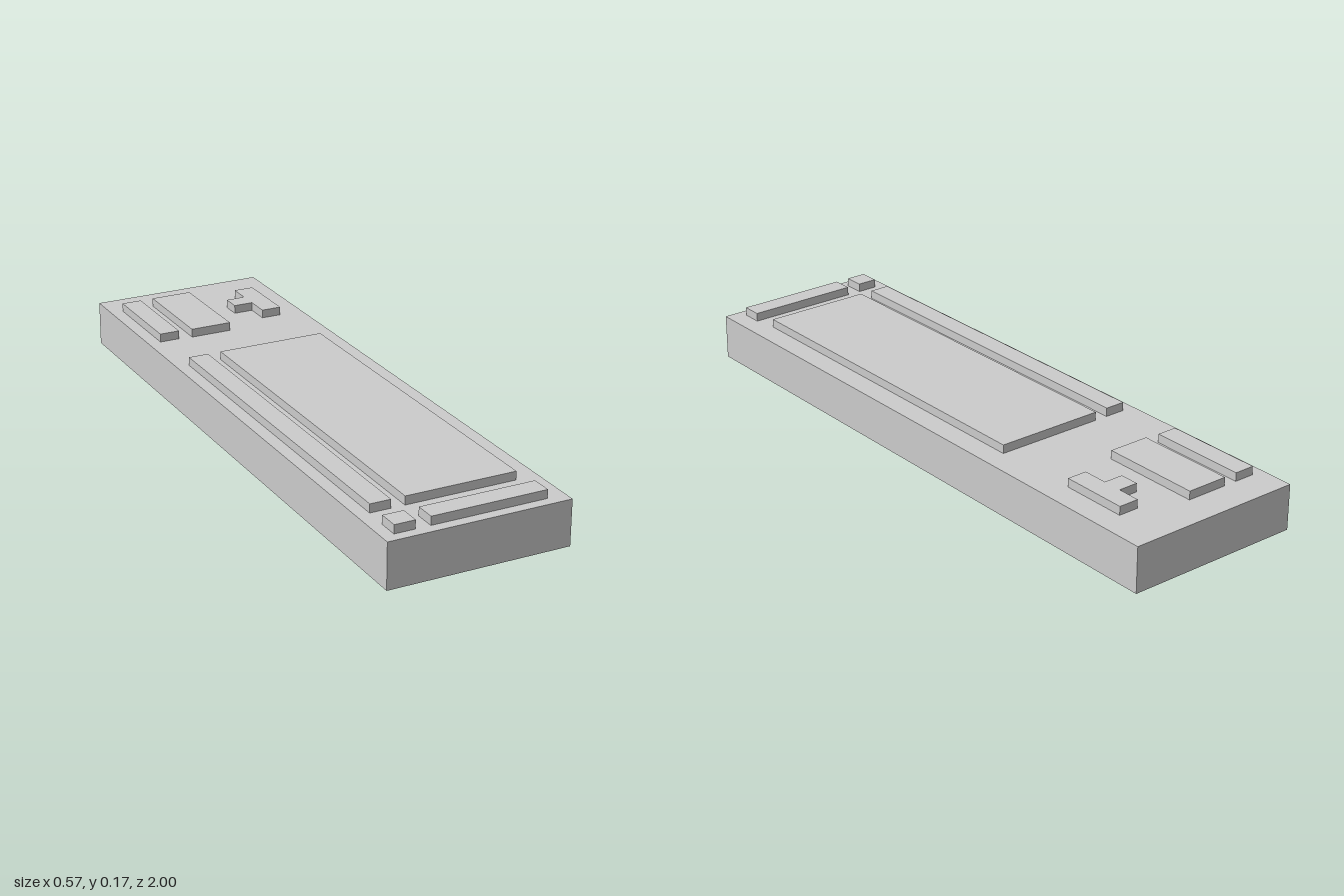
import * as THREE from 'three';

const BASE_TOP = 0.143;
const TOP = 0.17;

export function createModel() {
  const group = new THREE.Group();
  const material = new THREE.MeshStandardMaterial({ color: 0xcccccc, flatShading: true });

  // Box given by its extents along each axis
  function addBlock(name, x0, x1, z0, z1, y0 = BASE_TOP, y1 = TOP) {
    const mesh = new THREE.Mesh(new THREE.BoxGeometry(x1 - x0, y1 - y0, z1 - z0), material);
    mesh.position.set((x0 + x1) / 2, (y0 + y1) / 2, (z0 + z1) / 2);
    mesh.name = name;
    group.add(mesh);
  }

  // Main slab
  addBlock('base', -0.286, 0.286, -1, 1, 0, BASE_TOP);

  // Raised plates: name, x range, z range
  [
    ['frontSquare', -0.248, -0.183, 0.902, 0.967],
    ['frontBar', -0.137, 0.227, 0.902, 0.967],
    ['longStrip', -0.245, -0.18, -0.353, 0.828],
    ['mainPanel', -0.137, 0.214, -0.353, 0.828],
    ['rearStrip', -0.245, -0.18, -0.893, -0.577],
    ['rearPanel', -0.137, -0.003, -0.893, -0.571],
  ].forEach((plate) => addBlock(...plate));

  // T-shaped plate, outlined in (x, -z) and extruded upwards
  const outline = [
    [0.141, 0.626], [0.206, 0.626], [0.206, 0.84], [0.141, 0.84],
    [0.141, 0.767], [0.078, 0.767], [0.078, 0.706], [0.141, 0.706],
  ].map(([x, y]) => new THREE.Vector2(x, y));
  const tGeometry = new THREE.ExtrudeGeometry(new THREE.Shape(outline), {
    depth: TOP - BASE_TOP,
    bevelEnabled: false,
  });
  tGeometry.rotateX(-Math.PI / 2);
  const tPlate = new THREE.Mesh(tGeometry, material);
  tPlate.position.y = BASE_TOP;
  tPlate.name = 'teePlate';
  group.add(tPlate);

  return group;
}
